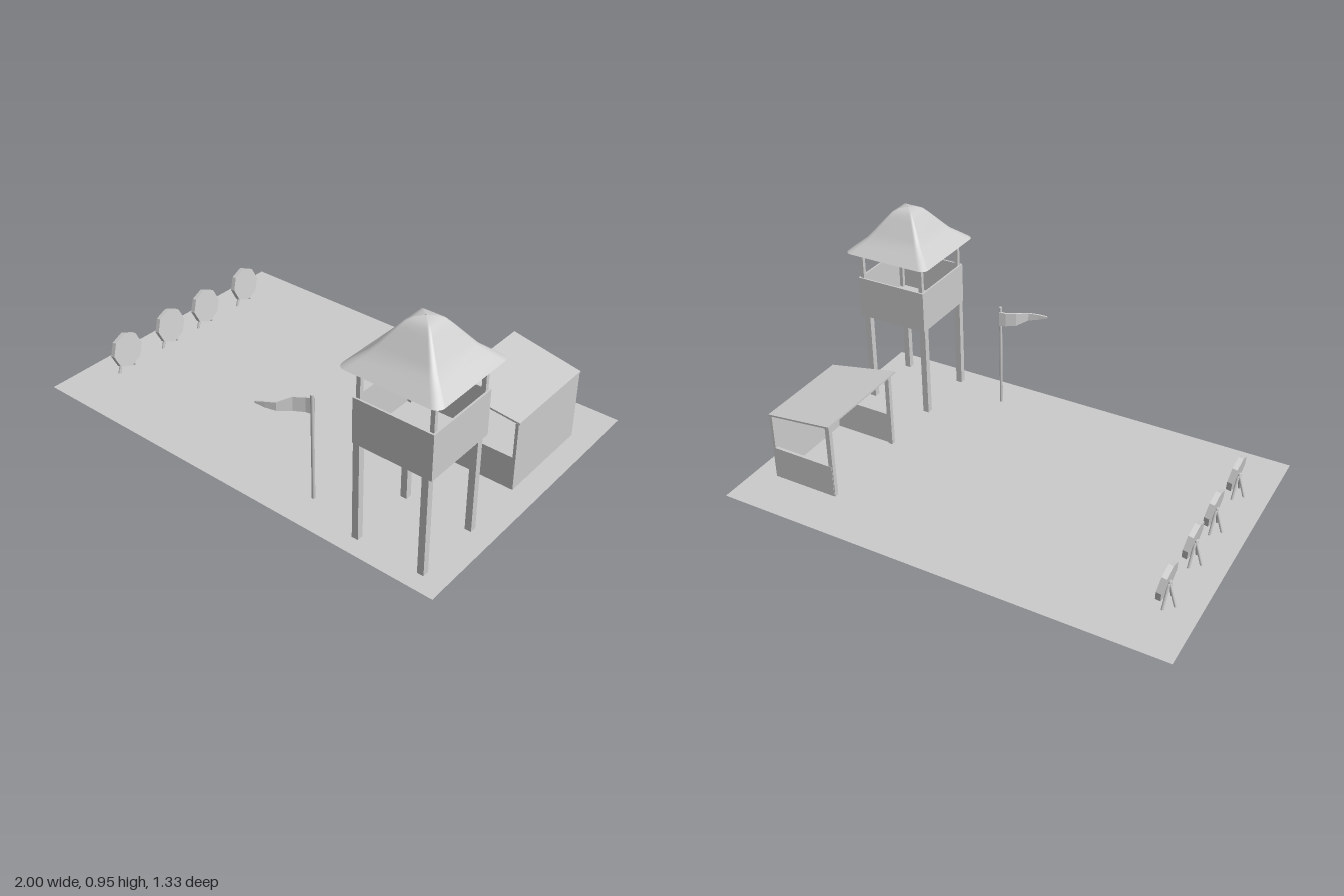
import * as THREE from 'three';

const grey = new THREE.MeshStandardMaterial({ color: 0xcccccc });
const greyDouble = new THREE.MeshStandardMaterial({ color: 0xcccccc, side: THREE.DoubleSide });
const greyFlat = new THREE.MeshStandardMaterial({ color: 0xcccccc, side: THREE.DoubleSide, flatShading: true });

function add(parent, name, geometry, material = grey) {
  const mesh = new THREE.Mesh(geometry, material);
  mesh.name = name;
  parent.add(mesh);
  return mesh;
}

function group(parent, name) {
  const g = new THREE.Group();
  g.name = name;
  parent.add(g);
  return g;
}

// Box given by its lower and upper corners
function box(parent, name, [x0, y0, z0], [x1, y1, z1]) {
  const mesh = add(parent, name, new THREE.BoxGeometry(x1 - x0, y1 - y0, z1 - z0));
  mesh.position.set((x0 + x1) / 2, (y0 + y1) / 2, (z0 + z1) / 2);
  return mesh;
}

// Upright square post
function post(parent, name, x, z, size, y0, y1) {
  const h = size / 2;
  return box(parent, name, [x - h, y0, z - h], [x + h, y1, z + h]);
}

// Round pole between two points
function pole(parent, name, from, to, radius, sides = 8) {
  const a = new THREE.Vector3(...from), b = new THREE.Vector3(...to);
  const mesh = add(parent, name, new THREE.CylinderGeometry(radius, radius, a.distanceTo(b), sides));
  mesh.position.copy(a).lerp(b, 0.5);
  mesh.quaternion.setFromUnitVectors(new THREE.Vector3(0, 1, 0), b.sub(a).normalize());
  return mesh;
}

// Surface through a list of equally long point rows
function loft(rows) {
  const n = rows[0].length, index = [];
  for (let r = 0; r < rows.length - 1; r++) {
    for (let i = 0; i < n - 1; i++) {
      const a = r * n + i, b = a + n;
      index.push(a, b, a + 1, a + 1, b, b + 1);
    }
  }
  const geometry = new THREE.BufferGeometry();
  geometry.setAttribute('position', new THREE.Float32BufferAttribute(rows.flat(2), 3));
  geometry.setIndex(index);
  geometry.computeVertexNormals();
  return geometry;
}

// Square outline with rounded corners, closed
function roundedSquare(half, radius, y) {
  const points = [];
  for (let c = 0; c < 4; c++) {
    const sx = c === 0 || c === 3 ? 1 : -1, sz = c < 2 ? 1 : -1;
    for (let k = 0; k <= 4; k++) {
      const t = (c + k / 4) * Math.PI / 2;
      points.push([sx * (half - radius) + radius * Math.cos(t), y, sz * (half - radius) + radius * Math.sin(t)]);
    }
  }
  points.push(points[0].slice());
  return points;
}

function buildTower(parent) {
  const tower = group(parent, 'watchtower');
  for (const x of [0.605, 0.897]) {
    for (const z of [0.283, 0.58]) post(tower, 'towerLeg', x, z, 0.028, 0.013, 0.45);
  }
  for (const x of [0.605, 0.909]) {
    for (const z of [0.277, 0.578]) post(tower, 'roofPost', x, z, 0.017, 0.45, 0.78);
  }
  // Open lookout box
  const [x0, x1, z0, z1, y0, y1, t] = [0.589, 0.925, 0.261, 0.597, 0.445, 0.635, 0.008];
  box(tower, 'floor', [x0, y0, z0], [x1, y0 + t, z1]);
  box(tower, 'leftWall', [x1 - t, y0, z0], [x1, y1, z1]);
  box(tower, 'rightWall', [x0, y0, z0], [x0 + t, y1, z1]);
  box(tower, 'frontWall', [x0, y0, z1 - t], [x1, y1, z1]);
  box(tower, 'backWall', [x0, y0, z0], [x1, y1, z0 + t]);
  // Bell-shaped roof
  const profile = [[0.207, 0.763], [0.172, 0.793], [0.137, 0.822], [0.115, 0.85], [0.09, 0.882],
    [0.068, 0.91], [0.05, 0.931], [0.03, 0.942], [0.002, 0.946]];
  const rows = profile.map(([half, y]) => roundedSquare(half, half * 0.16, y));
  const roof = add(tower, 'towerRoof', loft(rows), greyDouble);
  roof.position.set(0.757, 0, 0.43);
}

function buildShelter(parent) {
  const shelter = group(parent, 'shelter');
  box(shelter, 'backWall', [0.887, 0.012, -0.455], [0.9, 0.326, -0.003]);
  for (const z of [-0.455, -0.017]) {
    box(shelter, 'lowSideWall', [0.6, 0.012, z], [0.89, 0.165, z + 0.014]);
  }
  for (const z of [-0.443, -0.014]) post(shelter, 'shelterPost', 0.606, z, 0.02, 0, 0.372);
  // Sloping roof, wider at its open side
  const geometry = new THREE.BoxGeometry(0.32, 0.008, 1);
  const p = geometry.attributes.position;
  for (let i = 0; i < p.count; i++) {
    const open = p.getX(i) < 0;
    p.setZ(i, p.getZ(i) * (open ? 0.486 : 0.45));
    p.setY(i, p.getY(i) + (open ? 0.376 : 0.326));
  }
  geometry.computeVertexNormals();
  add(shelter, 'shelterRoof', geometry).position.set(0.743, 0, -0.23);
}

function buildTarget(parent, z) {
  const target = group(parent, 'archeryTarget');
  target.position.z = z;
  // Octagonal disc leaning back
  const geometry = new THREE.CylinderGeometry(0.08, 0.08, 0.022, 8);
  geometry.rotateZ(-Math.PI / 2);
  const disc = add(target, 'targetDisc', geometry, greyFlat);
  disc.rotation.z = 0.16;
  disc.position.set(-0.853, 0.121, 0);
  // Tripod stand
  pole(target, 'rearLeg', [-0.9, 0.012, -0.006], [-0.865, 0.125, -0.003], 0.006);
  for (const s of [-1, 1]) {
    pole(target, 'frontLeg', [-0.861, 0.012, s * 0.046], [-0.866, 0.115, s * 0.01], 0.006);
  }
}

function buildFlag(parent) {
  const flag = group(parent, 'flag');
  pole(flag, 'flagPole', [0.343, 0.01, 0.515], [0.354, 0.505, 0.531], 0.007);
  // Waving pennant: x, z, lower y, upper y
  const sections = [[0.354, 0.522, 0.415, 0.485], [0.325, 0.53, 0.417, 0.481], [0.285, 0.555, 0.418, 0.479],
    [0.25, 0.605, 0.43, 0.466], [0.21, 0.622, 0.436, 0.461], [0.172, 0.635, 0.447, 0.454]];
  const side = (d) => sections.map(([x, z, low, high]) => [[x, low, z + d], [x, high, z + d]]);
  const front = side(0.004), back = side(-0.004);
  const rows = front.map((f, i) => [f[0], f[1], back[i][1], back[i][0], f[0]]);
  add(flag, 'pennant', loft(rows), greyFlat);
}

export function createModel() {
  const model = new THREE.Group();
  model.name = 'trainingGround';

  const ground = add(model, 'ground', new THREE.PlaneGeometry(2, 1.334), greyDouble);
  ground.rotation.x = -Math.PI / 2;
  ground.position.y = 0.016;

  buildTower(model);
  buildShelter(model);
  for (const z of [-0.385, -0.12, 0.105, 0.367]) buildTarget(model, z);
  buildFlag(model);
  return model;
}
